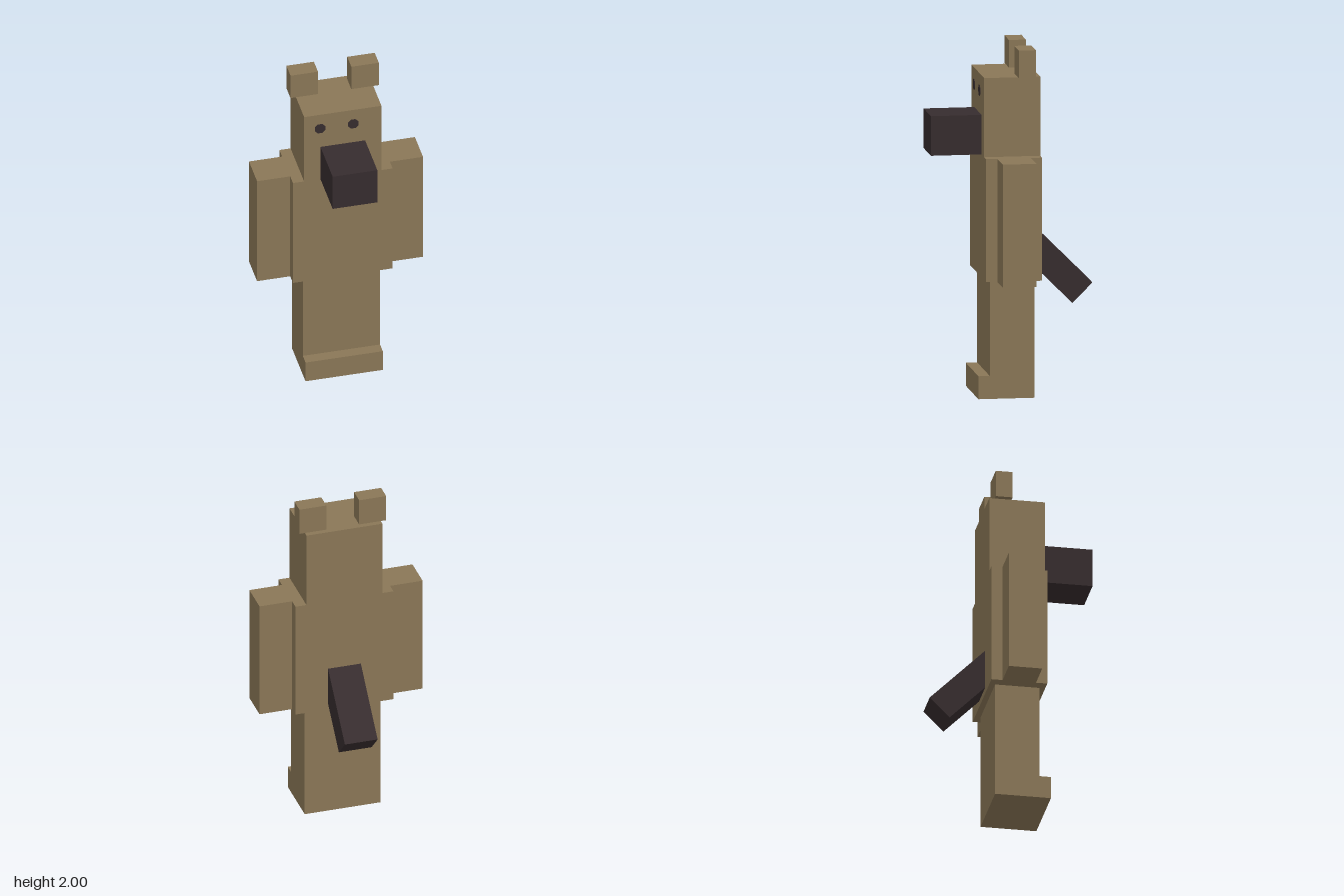
import * as THREE from 'three';

export function createModel() {
  const model = new THREE.Group();
  model.name = 'blockyAnimal';

  const fur = new THREE.MeshStandardMaterial({ color: 0x8a7757 });
  fur.name = 'brown fur';
  const dark = new THREE.MeshStandardMaterial({ color: 0x362c2e });
  dark.name = 'dark brown';

  // Box given by its extents on each axis
  function block(name, material, [x0, x1], [y0, y1], [z0, z1]) {
    const mesh = new THREE.Mesh(new THREE.BoxGeometry(x1 - x0, y1 - y0, z1 - z0), material);
    mesh.position.set((x0 + x1) / 2, (y0 + y1) / 2, (z0 + z1) / 2);
    mesh.name = name;
    model.add(mesh);
    return mesh;
  }

  // Legs, feet, torso and head
  block('legs', fur, [-0.225, 0.225], [0, 0.685], [-0.113, 0.143]);
  block('feet', fur, [-0.225, 0.225], [0, 0.132], [0.143, 0.208]);
  block('torso', fur, [-0.29, 0.29], [0.682, 1.388], [-0.146, 0.175]);
  block('head', fur, [-0.225, 0.225], [1.388, 1.842], [-0.146, 0.175]);

  // Arms and ears, mirrored
  for (const [side, s] of [['left', 1], ['right', -1]]) {
    const span = (a, b) => (s > 0 ? [a, b] : [-b, -a]);
    block(side + 'Arm', fur, span(0.29, 0.483), [0.682, 1.388], [-0.082, 0.11]);
    block(side + 'Ear', fur, span(0.097, 0.257), [1.842, 2], [-0.115, -0.018]);
  }

  // Muzzle
  block('muzzle', dark, [-0.13, 0.13], [1.388, 1.615], [0.175, 0.465]);

  // Eyes: thin octagonal plates, set slightly off centre
  for (const [name, x] of [['leftEye', 0.061], ['rightEye', -0.132]]) {
    const geometry = new THREE.CylinderGeometry(0.033, 0.033, 0.004, 8);
    geometry.rotateY(Math.PI / 8).rotateX(Math.PI / 2);
    const eye = new THREE.Mesh(geometry, dark);
    eye.position.set(x, 1.745, 0.176);
    eye.name = name;
    model.add(eye);
  }

  // Tail sloping down and back out of the torso
  const tail = block('tail', dark, [-0.097, 0.097], [0.51, 0.99], [-0.319, -0.157]);
  tail.position.set(0, 0.742, -0.238);
  tail.rotation.x = Math.PI / 4;

  return model;
}
